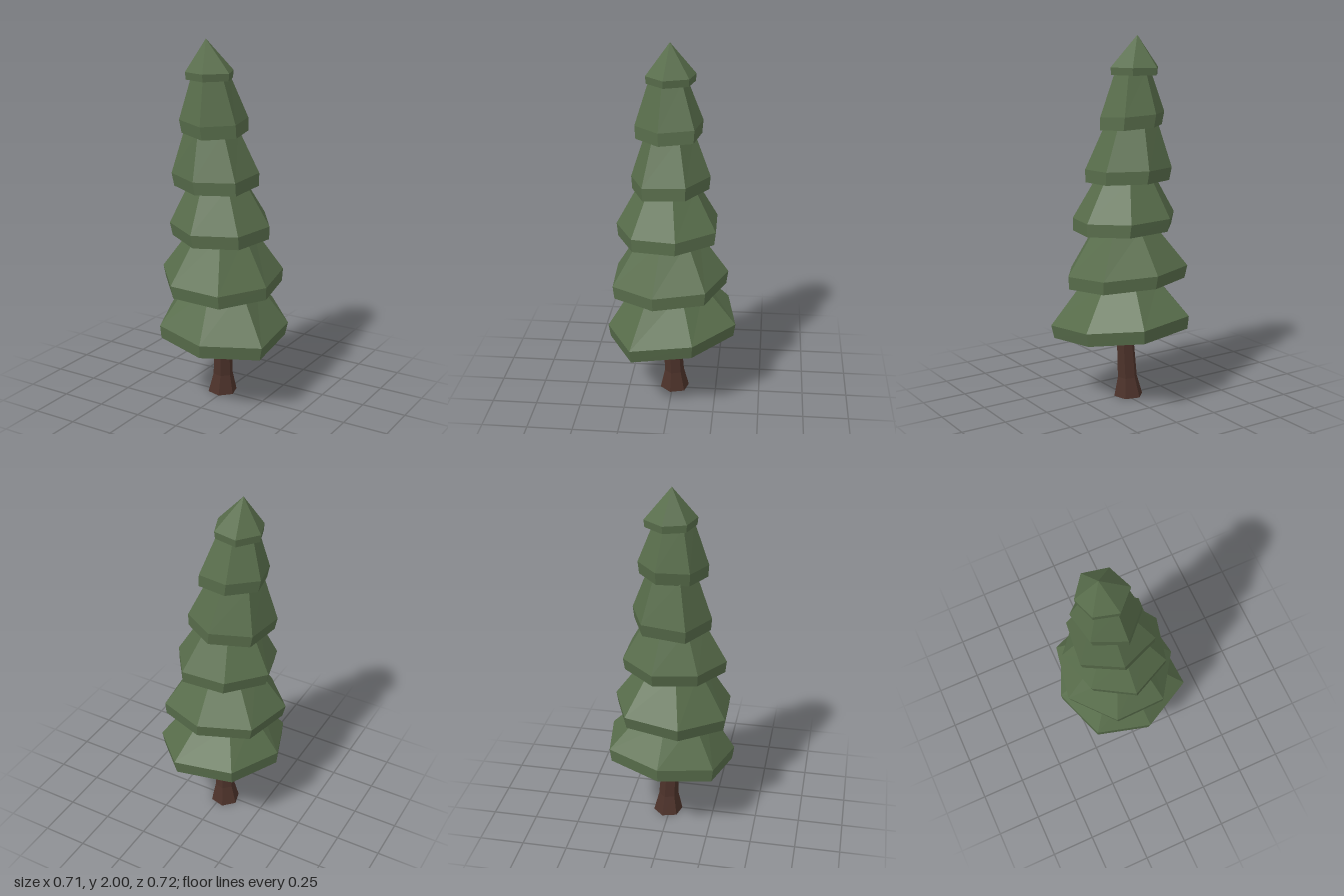
import * as THREE from 'three';

const foliage = new THREE.MeshStandardMaterial({ name: 'foliage green', color: 0x586d4b, flatShading: true });
const bark = new THREE.MeshStandardMaterial({ name: 'bark brown', color: 0x4c322a, flatShading: true });

// Faceted solid through rings of points (bottom to top, clockwise from above), closed by a fan at each end
function loft(name, rings, bottom, top, material) {
  const pos = [];
  const tri = (...pts) => pts.forEach((p) => pos.push(...p));
  const n = rings[0].length;
  const last = rings[rings.length - 1];
  for (let i = 0; i < n; i++) {
    const j = (i + 1) % n;
    tri(bottom, rings[0][i], rings[0][j]);
    for (let r = 0; r < rings.length - 1; r++) {
      const lo = rings[r], up = rings[r + 1];
      tri(lo[j], lo[i], up[i]);
      tri(lo[j], up[i], up[j]);
    }
    tri(last[j], last[i], top);
  }
  const geometry = new THREE.BufferGeometry();
  geometry.setAttribute('position', new THREE.Float32BufferAttribute(pos, 3));
  geometry.computeVertexNormals();
  const mesh = new THREE.Mesh(geometry, material);
  mesh.name = name;
  return mesh;
}

// Each tier: rim corners [x, z], rim height and its slope in x and z, skirt depth and sideways shift,
// then the neck: centre x, centre z, height and size relative to the rim
const tiers = [
  { rim: [[0.11, -0.36], [0.33, -0.137], [0.353, 0.2], [0.06, 0.357], [-0.245, 0.28], [-0.353, -0.01], [-0.22, -0.305]],
    y: 0.455, tilt: [-0.07, -0.09], drop: 0.073, shift: -0.005, neck: [-0.005, 0.01, 0.68, 0.52] },
  { rim: [[-0.01, -0.31], [0.26, -0.2], [0.31, 0.08], [0.15, 0.315], [-0.14, 0.325], [-0.34, 0.1], [-0.285, -0.2]],
    y: 0.727, tilt: [-0.04, -0.07], drop: 0.07, shift: 0.006, neck: [-0.005, 0.015, 0.97, 0.5] },
  { rim: [[0.115, -0.244], [0.26, -0.038], [0.206, 0.202], [-0.02, 0.311], [-0.233, 0.187], [-0.3, -0.048], [-0.137, -0.238]],
    y: 1.02, tilt: [-0.03, -0.04], drop: 0.07, shift: 0.008, neck: [-0.028, 0.02, 1.24, 0.56] },
  { rim: [[-0.025, -0.204], [0.168, -0.084], [0.156, 0.149], [-0.055, 0.231], [-0.26, 0.124], [-0.235, -0.115]],
    y: 1.285, tilt: [0, -0.05], drop: 0.07, shift: 0.008, neck: [-0.065, 0.02, 1.53, 0.6] },
  { rim: [[-0.1, -0.157], [0.076, -0.122], [0.109, 0.067], [-0.025, 0.206], [-0.2, 0.135], [-0.237, -0.038]],
    y: 1.575, tilt: [-0.05, -0.05], drop: 0.07, shift: 0.009, neck: [-0.073, 0.025, 1.81, 0.55] },
  { rim: [[-0.132, -0.116], [0.004, -0.088], [0.057, 0.046], [-0.044, 0.149], [-0.174, 0.113], [-0.216, -0.006]],
    y: 1.83, tilt: [0, 0], drop: 0.04, shift: 0, tip: [-0.1, 2, 0.023] },
];

function makeTier({ rim, y, tilt, drop, shift, neck, tip }, index) {
  const cx = rim.reduce((s, p) => s + p[0], 0) / rim.length;
  const cz = rim.reduce((s, p) => s + p[1], 0) / rim.length;
  const edge = rim.map(([x, z]) => [x, y + tilt[0] * x + tilt[1] * z, z]);
  const skirt = edge.map(([x, h, z]) => [cx + (x - cx) * 0.97 + shift, h - drop, cz + (z - cz) * 0.97]);
  const under = [cx, y - drop + 0.015, cz];
  if (tip) return loft('treeTop', [skirt, edge], under, tip, foliage);
  const [nx, nz, ny, size] = neck;
  const collar = rim.map(([x, z]) => [nx + (x - cx) * size, ny, nz + (z - cz) * size]);
  return loft(`foliageTier${index + 1}`, [skirt, edge, collar], under, [nx, ny, nz], foliage);
}

export function createModel() {
  const group = new THREE.Group();
  group.name = 'pineTree';

  // Six-sided trunk with a flared foot: [height, radius, centre x, centre z]
  const sections = [[0, 0.083, -0.02, -0.012], [0.11, 0.056, -0.015, -0.01], [0.42, 0.046, -0.005, 0.005]];
  const rings = sections.map(([y, r, x, z]) => Array.from({ length: 6 }, (_, i) => {
    const a = (i / 6) * Math.PI * 2 + 0.25;
    return [x + Math.cos(a) * r, y, z + Math.sin(a) * r];
  }));
  group.add(loft('trunk', rings, [-0.02, 0, -0.012], [-0.005, 0.42, 0.005], bark));

  // Stacked, slightly leaning foliage
  tiers.forEach((tier, i) => group.add(makeTier(tier, i)));
  return group;
}
